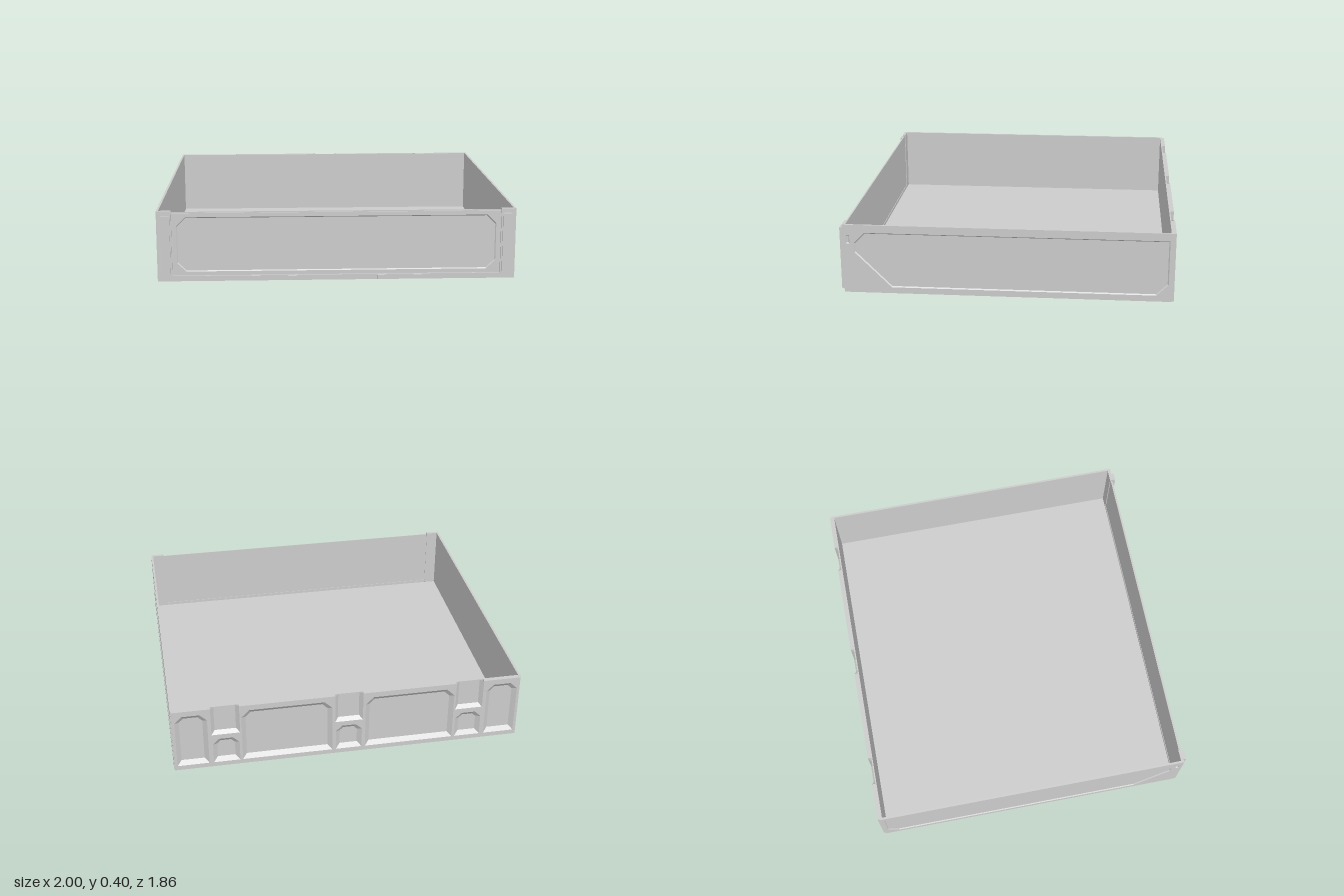
import * as THREE from 'three';

const mat = new THREE.MeshStandardMaterial({ color: 0xcccccc, side: THREE.DoubleSide });

function add(parent, name, geo, x = 0, y = 0, z = 0) {
  const m = new THREE.Mesh(geo, mat);
  m.name = name;
  m.position.set(x, y, z);
  parent.add(m);
  return m;
}

// Box given by its minimum and maximum corners
function block(parent, name, a, b) {
  return add(parent, name, new THREE.BoxGeometry(b[0] - a[0], b[1] - a[1], b[2] - a[2]),
    (a[0] + b[0]) / 2, (a[1] + b[1]) / 2, (a[2] + b[2]) / 2);
}

const vecs = pts => {
  const v = pts.map(p => new THREE.Vector2(p[0], p[1]));
  return THREE.ShapeUtils.area(v) < 0 ? v.reverse() : v;
};

// Parallel inward offset of a convex counter-clockwise polygon
function inset(p, d) {
  const n = p.length;
  return p.map((c, i) => {
    const e = c.clone().sub(p[(i + n - 1) % n]).normalize();
    const f = p[(i + 1) % n].clone().sub(c).normalize();
    const n1 = new THREE.Vector2(-e.y, e.x), n2 = new THREE.Vector2(-f.y, f.x);
    return c.clone().addScaledVector(n1.clone().add(n2), d / (1 + n1.dot(n2)));
  });
}

// Sloping faces from an outline at z = 0 to a smaller one at z = -depth
function bevel(outer, inner, depth, open = false) {
  const pos = [];
  for (let i = 0; i < outer.length - (open ? 1 : 0); i++) {
    const j = (i + 1) % outer.length;
    const a = [outer[i].x, outer[i].y, 0], b = [outer[j].x, outer[j].y, 0];
    const c = [inner[j].x, inner[j].y, -depth], d = [inner[i].x, inner[i].y, -depth];
    pos.push(...a, ...b, ...c, ...a, ...c, ...d);
  }
  const g = new THREE.BufferGeometry();
  g.setAttribute('position', new THREE.Float32BufferAttribute(pos, 3));
  g.computeVertexNormals();
  return g;
}

// Wall facing +z, with bevelled recesses cut into its face
function wall(name, outline, recesses, depth, slope, thickness) {
  const g = new THREE.Group();
  g.name = name;
  const shape = new THREE.Shape(vecs(outline));
  for (const r of recesses) {
    const p = vecs(r);
    shape.holes.push(new THREE.Path(p));
    add(g, 'recessBevel', bevel(p, inset(p, slope), depth));
  }
  add(g, 'frame', new THREE.ExtrudeGeometry(shape, { depth, bevelEnabled: false }), 0, 0, -depth);
  const xs = outline.map(p => p[0]), ys = outline.map(p => p[1]);
  block(g, 'backing', [Math.min(...xs), Math.min(...ys), -thickness],
    [Math.max(...xs), Math.max(...ys), -depth]);
  return g;
}

const rect = (x0, x1, y0, y1) => [[x0, y0], [x1, y0], [x1, y1], [x0, y1]];
// Rectangle with its two upper corners cut off
const cutTop = (x0, x1, y0, y1, c) =>
  [[x0, y0], [x1, y0], [x1, y1 - c], [x1 - c, y1], [x0 + c, y1], [x0, y1 - c]];

// Upright dovetail rail that widens towards the front
function rail(parent, name, x, y0, y1) {
  const s = new THREE.Shape(vecs([[-0.015, 0], [0.015, 0], [0.025, -0.012], [0.025, -0.022], [-0.025, -0.022], [-0.025, -0.012]]));
  const g = new THREE.ExtrudeGeometry(s, { depth: y1 - y0, bevelEnabled: false });
  g.rotateX(-Math.PI / 2);
  add(parent, name, g, x, y0, 0.908);
}

export function createModel() {
  const root = new THREE.Group();
  root.name = 'openTray';

  block(root, 'floor', [-0.99, 0, -0.905], [0.99, 0.012, 0.905]);

  // Side walls with an angled recessed panel
  const panel = [[0.785, 0.355], [-0.9, 0.355], [-0.9, 0.1], [-0.835, 0.035],
    [0.64, 0.035], [0.845, 0.24], [0.845, 0.295]];
  for (const s of [1, -1]) {
    const flip = pts => pts.map(([z, y]) => [-s * z, y]);
    const side = wall(s > 0 ? 'leftWall' : 'rightWall', flip(rect(-0.92, 0.91, 0, 0.4)),
      [flip(panel), flip(rect(0.87, 0.89, 0.29, 0.34))], 0.006, 0.006, 0.012);
    side.rotation.y = s * Math.PI / 2;
    side.position.x = s;
    root.add(side);

    // Front corner post and its rail
    const x0 = s > 0 ? 0.918 : -0.99, x1 = s > 0 ? 0.99 : -0.918;
    block(root, 'frontPost', [x0, 0, 0.892], [x1, 0.4, 0.91]);
    rail(root, 'postRail', s * 0.95, 0.012, 0.375);
    for (const x of [0.25, 0.45]) rail(root, 'sillLug', s * x, 0.005, 0.03);
  }

  // Front panel between the posts
  block(root, 'frontSill', [-0.92, 0, 0.893], [0.92, 0.03, 0.91]);
  const octagon = [[-0.84, 0.055], [0.84, 0.055], [0.89, 0.105], [0.89, 0.315],
    [0.84, 0.365], [-0.84, 0.365], [-0.89, 0.315], [-0.89, 0.105]];
  const front = wall('frontPanel', rect(-0.912, 0.912, 0.036, 0.388), [octagon], 0.005, 0.005, 0.01);
  front.position.z = 0.908;
  root.add(front);
  block(root, 'frontPanelBacking', [-0.92, 0.025, 0.896], [0.92, 0.394, 0.899]);

  // Back wall: notches open at the top, pockets below and between them
  const W = 0.995, H = 0.398, depth = 0.02, notches = [-0.7, 0, 0.7];
  const outline = [[W, 0.002], [W, H]];
  for (const x of [...notches].reverse())
    outline.push([x + 0.08, H], [x + 0.08, 0.22], [x - 0.08, 0.22], [x - 0.08, H]);
  outline.push([-W, H], [-W, 0.002]);
  const pockets = notches.map(x => cutTop(x - 0.075, x + 0.075, 0.03, 0.19, 0.035));
  for (const s of [1, -1]) {
    const [a, b] = s > 0 ? [0.8, 0.98] : [-0.98, -0.8];
    pockets.push(cutTop(a, b, 0.03, 0.365, 0.04));
    const [c, d] = s > 0 ? [0.095, 0.61] : [-0.61, -0.095];
    pockets.push(cutTop(c, d, 0.03, 0.365, 0.045));
  }
  const back = wall('backWall', outline, pockets, depth, 0.025, 0.027);
  for (const x of notches) {
    const edge = (w, y) => [[x - w, H], [x - w, y], [x + w, y], [x + w, H]].map(p => new THREE.Vector2(...p));
    add(back, 'notchBevel', bevel(edge(0.08, 0.22), edge(0.06, 0.24), depth, true));
  }
  back.rotation.y = Math.PI;
  back.position.z = -0.932;
  root.add(back);

  return root;
}
